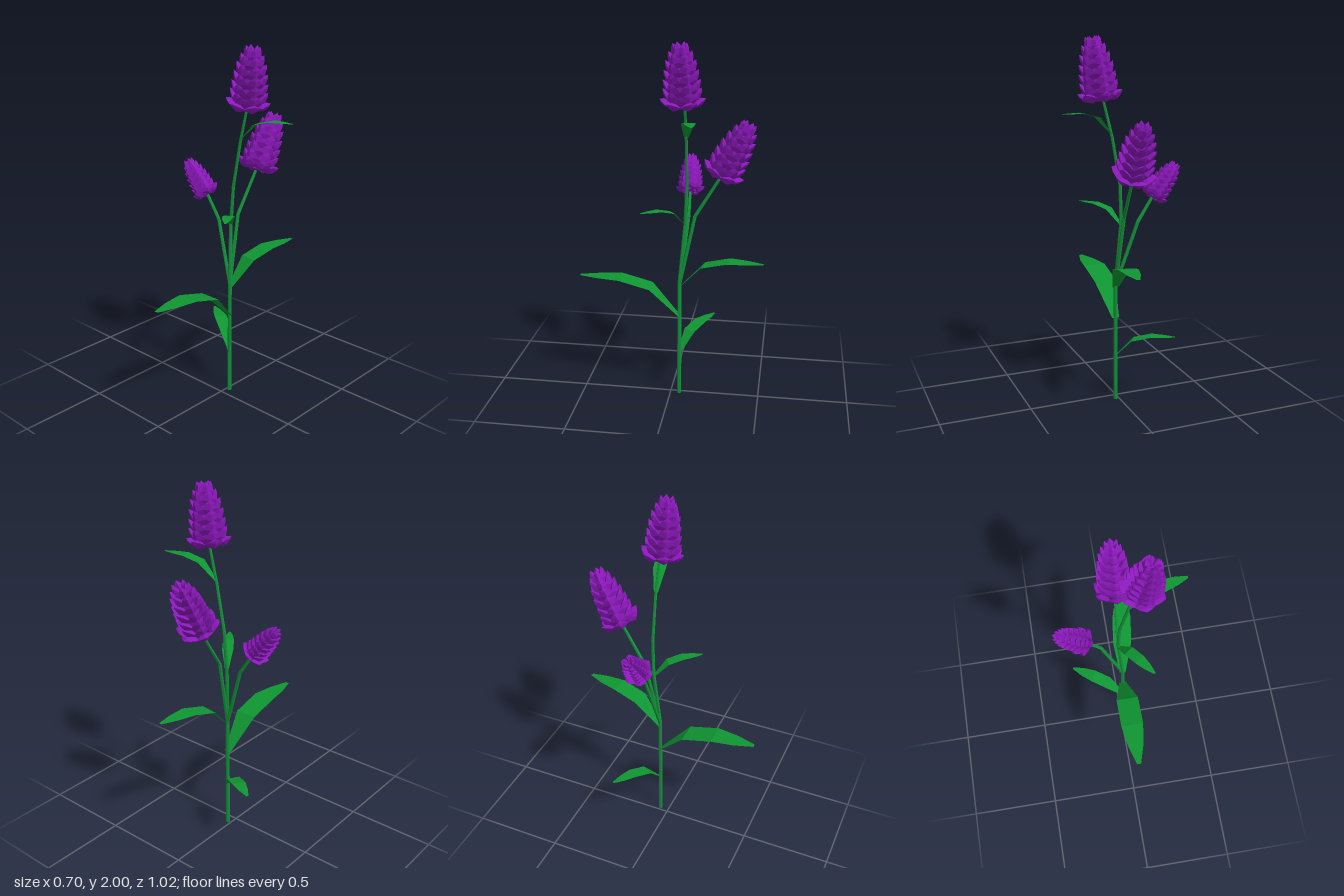
import * as THREE from 'three';
import { mergeGeometries } from 'three/addons/utils/BufferGeometryUtils.js';

const stemGreen = new THREE.MeshStandardMaterial({ name: 'stem green', color: 0x12903a });
const leafGreen = new THREE.MeshStandardMaterial({ name: 'leaf green', color: 0x0f9632, side: THREE.DoubleSide });
const petalPurple = new THREE.MeshStandardMaterial({ name: 'petal purple', color: 0x8c18bc });

const UP = new THREE.Vector3(0, 1, 0);
const vec = (p) => new THREE.Vector3(...p);

// Gives every triangle its own normal
function faceted(geometry) {
  const flat = geometry.index ? geometry.toNonIndexed() : geometry;
  flat.computeVertexNormals();
  return flat;
}

function addMesh(group, name, geometry, material) {
  const mesh = new THREE.Mesh(geometry, material);
  mesh.name = name;
  group.add(mesh);
  return mesh;
}

// Tapering stalk through points of the form [x, y, z, radius]
function stalk(points) {
  const parts = [];
  for (let i = 0; i < points.length - 1; i++) {
    const a = vec(points[i].slice(0, 3)), b = vec(points[i + 1].slice(0, 3));
    const dir = b.clone().sub(a);
    const g = new THREE.CylinderGeometry(points[i + 1][3], points[i][3], dir.length(), 6);
    g.applyQuaternion(new THREE.Quaternion().setFromUnitVectors(UP, dir.normalize()));
    const mid = a.add(b).multiplyScalar(0.5);
    parts.push(g.translate(mid.x, mid.y, mid.z));
  }
  return faceted(mergeGeometries(parts));
}

// Flat-bladed leaf rising from its stalk, then levelling out along +z
function leafBlade() {
  const sections = [ // distance, height, half width
    [0, 0, 0.02], [0.16, 0.17, 0.0625], [0.33, 0.215, 0.0625], [0.45, 0.216, 0.044], [0.56, 0.216, 0.011],
  ];
  const positions = [];
  for (let i = 0; i < sections.length - 1; i++) {
    const [z0, y0, w0] = sections[i], [z1, y1, w1] = sections[i + 1];
    positions.push(-w0, y0, z0, -w1, y1, z1, w0, y0, z0);
    positions.push(w0, y0, z0, -w1, y1, z1, w1, y1, z1);
  }
  const g = new THREE.BufferGeometry();
  g.setAttribute('position', new THREE.Float32BufferAttribute(positions, 3));
  return faceted(g);
}

// Flower spike: seven tiers of six pointed petals around a core
function flowerSpike() {
  const core = new THREE.LatheGeometry([
    [0, 0], [0.045, 0.008], [0.06, 0.07], [0.055, 0.17], [0.035, 0.26], [0, 0.31],
  ].map(([r, y]) => new THREE.Vector2(r, y)), 6);
  const petal = new THREE.LatheGeometry([
    [0, 0], [0.8, 0.22], [1, 0.5], [0.6, 0.8], [0, 1],
  ].map(([r, y]) => new THREE.Vector2(r, y)), 4);
  const tiers = [ // tip radius, tip height
    [0.118, 0.05], [0.1, 0.105], [0.096, 0.15], [0.089, 0.2], [0.078, 0.25], [0.06, 0.295], [0.036, 0.335],
  ];
  const parts = [core];
  tiers.forEach(([tipR, tipY], tier) => {
    const baseR = tipR * 0.35;
    const baseY = Math.max(0.005, tipY - 0.095);
    const length = Math.hypot(tipR - baseR, tipY - baseY);
    const tilt = Math.atan2(tipR - baseR, tipY - baseY);
    for (let k = 0; k < 6; k++) {
      const g = petal.clone();
      g.scale(0.014 + tipR * 0.3, length, 0.022);
      g.rotateX(tilt).translate(0, baseY, baseR);
      parts.push(g.rotateY(k * Math.PI / 3));
    }
  });
  return faceted(mergeGeometries(parts));
}

export function createModel() {
  const plant = new THREE.Group();
  plant.name = 'floweringPlant';

  // Main stem and the two side branches
  addMesh(plant, 'mainStem', stalk([
    [0.02, 0, -0.05, 0.012], [0.02, 0.68, -0.05, 0.011], [0, 1.02, -0.078, 0.01],
    [0.01, 1.23, -0.086, 0.009], [0.055, 1.48, -0.088, 0.008], [0.11, 1.7, -0.085, 0.007],
  ]), stemGreen);
  addMesh(plant, 'sideBranch', stalk([
    [0.02, 0.67, -0.05, 0.01], [-0.095, 1.02, -0.083, 0.01], [-0.2, 1.18, -0.08, 0.008],
  ]), stemGreen);
  addMesh(plant, 'backBranch', stalk([
    [0.02, 0.67, -0.05, 0.01], [0.005, 1.06, -0.13, 0.01], [0.015, 1.31, -0.28, 0.008],
  ]), stemGreen);

  // Leaves: base point, then x and z of the tip
  const blade = leafBlade();
  const leaves = [
    ['frontLeaf', [0.02, 0.48, -0.05], 0.02, 0.51],
    ['backLeaf', [0.02, 0.655, -0.05], 0.085, -0.51],
    ['lowLeaf', [0.02, 0.26, -0.05], -0.26, -0.22],
    ['middleLeaf', [0, 1.008, -0.078], 0.16, 0.14],
    ['highLeaf', [0.06, 1.5, -0.088], 0.355, -0.15],
  ];
  for (const [name, base, tipX, tipZ] of leaves) {
    const leaf = addMesh(plant, name, blade, leafGreen);
    const dx = tipX - base[0], dz = tipZ - base[2];
    leaf.position.set(...base);
    leaf.rotation.y = Math.atan2(dx, dz);
    leaf.scale.setScalar(Math.hypot(dx, dz) / 0.56);
  }

  // Flower spikes: base point, tip point
  const spike = flowerSpike();
  const flowers = [
    ['topFlower', [0.112, 1.667, -0.078], [0.157, 1.995, -0.066], 1],
    ['backFlower', [0.015, 1.285, -0.262], [0.02, 1.583, -0.415], 1],
    ['sideFlower', [-0.175, 1.145, -0.08], [-0.325, 1.322, -0.07], 0.69],
  ];
  for (const [name, base, tip, size] of flowers) {
    const flower = addMesh(plant, name, spike, petalPurple);
    const axis = vec(tip).sub(vec(base));
    flower.position.set(...base);
    flower.scale.set(size, axis.length() / 0.335, size);
    flower.quaternion.setFromUnitVectors(UP, axis.normalize());
  }
  return plant;
}
